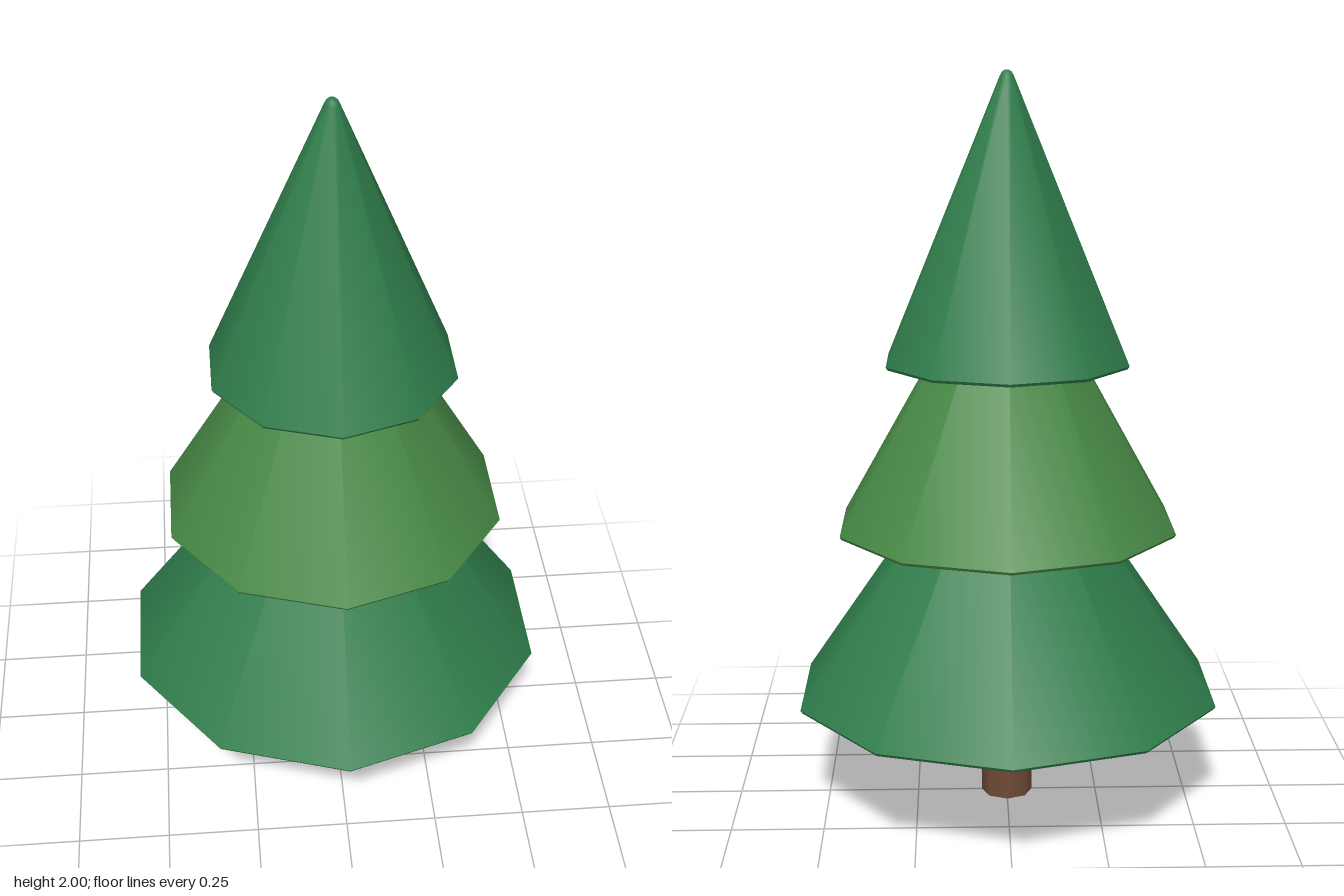
import * as THREE from 'three';

const SIDES = 10;

export function createModel() {
  const paint = (name, color) => {
    const m = new THREE.MeshStandardMaterial({ color });
    m.name = name;
    return m;
  };
  const pine = paint('pine green', 0x2f7d4b);
  const leaf = paint('leaf green', 0x478845);
  const bark = paint('bark brown', 0x6f4a35);

  const model = new THREE.Group();
  model.name = 'pineTree';

  const add = (parent, name, geometry, material, y = 0) => {
    const mesh = new THREE.Mesh(geometry, material);
    mesh.name = name;
    mesh.position.y = y;
    parent.add(mesh);
  };

  // trunk, running up into the lowest tier
  add(model, 'trunk', new THREE.CylinderGeometry(0.07, 0.07, 0.4, 8), bark, 0.2);

  // a tier is a smooth ten-sided cone on a thin rim with a flat underside
  const LIP = 0.008;
  const addTier = (name, material, radius, topRadius, bottom, top) => {
    const tier = new THREE.Group();
    tier.name = name;
    const height = top - bottom - LIP;
    add(tier, name + 'Slope',
      new THREE.CylinderGeometry(topRadius, radius, height, SIDES, 1, true),
      material, bottom + LIP + height / 2);
    add(tier, name + 'Rim',
      new THREE.CylinderGeometry(radius, radius - 0.005, LIP, SIDES),
      material, bottom + LIP / 2);
    model.add(tier);
    return tier;
  };

  addTier('lowerTier', pine, 0.59, 0.01, 0.305, 1.16);
  addTier('middleTier', leaf, 0.471, 0.01, 0.78, 1.59);
  const upper = addTier('upperTier', pine, 0.337, 0.019, 1.23, 1.985);

  // rounded tip
  const tip = [[0.019, 1.985], [0.014, 1.994], [0.007, 1.999], [0, 2]]
    .map(([r, y]) => new THREE.Vector2(r, y));
  add(upper, 'tip', new THREE.LatheGeometry(tip, SIDES), pine);

  return model;
}
